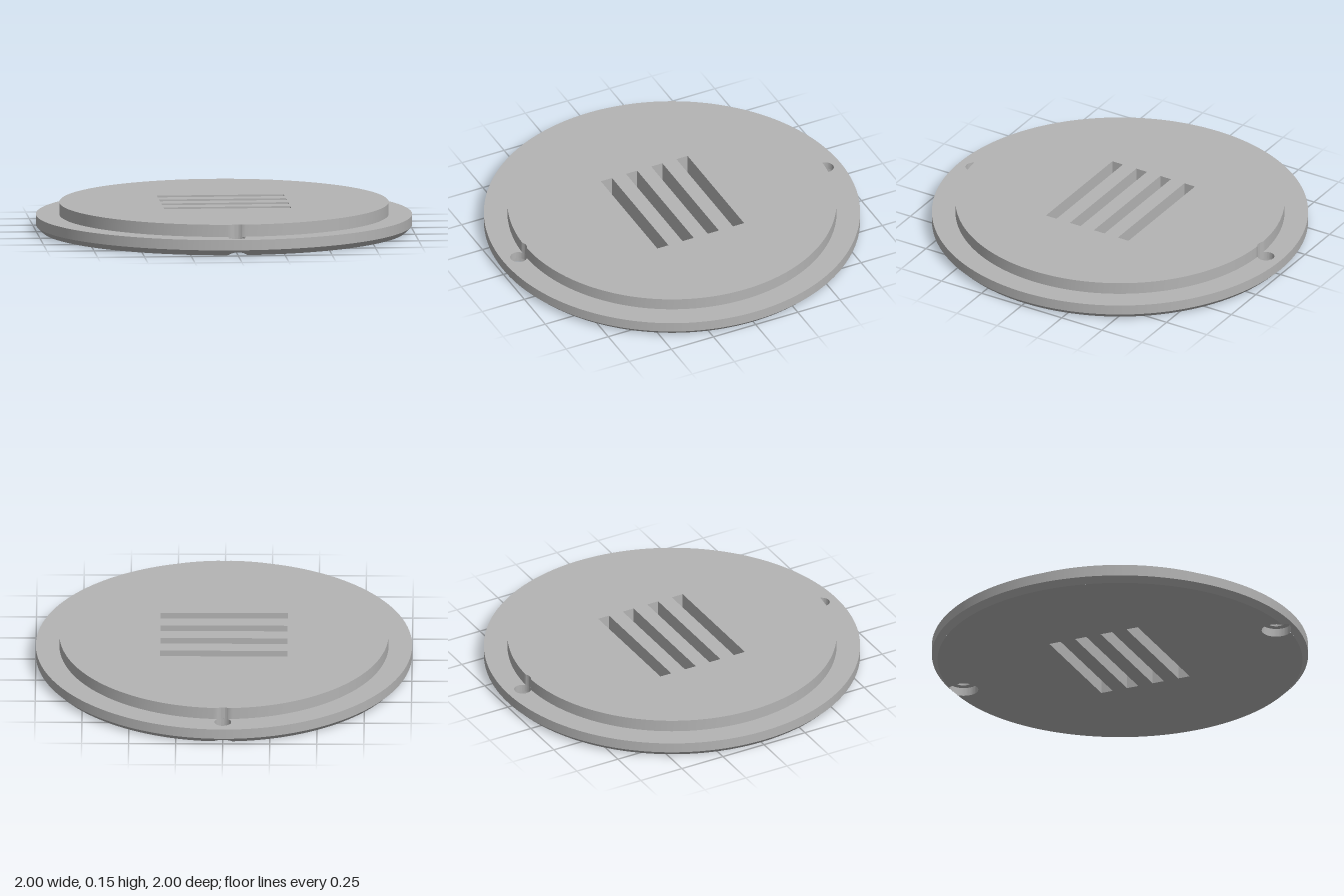
import * as THREE from 'three';
import { toCreasedNormals } from 'three/addons/utils/BufferGeometryUtils.js';

const R_RIM = 1, R_BASE = 0.97, R_RAISED = 0.875;      // radii of the plate
const Y_CHAMFER = 0.03, Y_FLANGE = 0.085, Y_TOP = 0.15; // heights of its steps
const HOLE_AT = 0.91, R_HOLE = 0.045, R_BORE = 0.078, Y_BORE = 0.045;

// Outlines are lists of [x, v] with v = -z, counter-clockwise seen from above.
function arc(cx, cv, r, from, to, n) {
  return Array.from({ length: n + 1 }, (_, i) => {
    const a = from + (to - from) * i / n;
    return [cx + r * Math.cos(a), cv + r * Math.sin(a)];
  });
}
const circle = (r, n, cv = 0) => arc(0, cv, r, 0, Math.PI * 2, n).slice(0, -1);

// Circle with a bite (or a bump, if outward) where the two screw holes cross it
function notchedCircle(R, r, outward = false) {
  const c = HOLE_AT;
  const phi = Math.acos((R * R + c * c - r * r) / (2 * R * c));
  const a = Math.atan2(R * Math.cos(phi) - c, R * Math.sin(phi));
  const half = [
    ...arc(0, 0, R, -Math.PI / 2 + phi, Math.PI / 2 - phi, 120),
    ...arc(0, c, r, a, outward ? Math.PI - a : -Math.PI - a, 24).slice(1, -1),
  ];
  return [...half, ...half.map(([x, v]) => [-x, -v])];
}

// Flat face at height y, with holes
function face(outline, holes, y, up) {
  const toVec = (pts) => pts.map(([x, v]) => new THREE.Vector2(x, v));
  const shape = new THREE.Shape(toVec(outline));
  holes.forEach((h) => shape.holes.push(new THREE.Path(toVec(h))));
  const geo = new THREE.ShapeGeometry(shape).rotateX(-Math.PI / 2).translate(0, y, 0);
  if (!up) {
    geo.index.array.reverse();
    geo.computeVertexNormals();
  }
  return geo;
}

// Wall between two loops of [x, v, y]; a clockwise loop faces inward
function loft(low, high) {
  const n = low.length, index = [];
  const pos = [...low, ...high].flatMap(([x, v, y]) => [x, y, -v]);
  for (let i = 0; i < n; i++) {
    const j = (i + 1) % n;
    index.push(i, j, n + j, i, n + j, n + i);
  }
  const geo = new THREE.BufferGeometry();
  geo.setAttribute('position', new THREE.Float32BufferAttribute(pos, 3));
  geo.setIndex(index);
  return toCreasedNormals(geo, 0.6);
}
const atY = (pts, y) => pts.map(([x, v]) => [x, v, y]);
const wall = (pts, y0, y1) => loft(atY(pts, y0), atY(pts, y1));

export function createModel() {
  const grey = new THREE.MeshStandardMaterial({ color: 0xb4b4b4 });
  grey.name = 'grey';
  const model = new THREE.Group();
  model.name = 'ventCover';
  const add = (name, geo) => {
    const mesh = new THREE.Mesh(geo, grey);
    mesh.name = name;
    model.add(mesh);
  };

  // Four vent slots, clockwise so that their walls face inward
  const slots = [0, 1, 2, 3].map((i) => {
    const v = 0.227 - 0.1495 * i, w = 0.338, h = 0.033;
    return [[-w, v - h], [-w, v + h], [w, v + h], [w, v - h]];
  });
  slots.forEach((s) => add('slotWall', wall(s, 0, Y_TOP)));

  // Raised disc, bitten by the screw holes
  const raised = notchedCircle(R_RAISED, R_HOLE);
  add('raisedTop', face(raised, slots, Y_TOP, true));
  add('raisedWall', wall(raised, Y_FLANGE, Y_TOP));

  // Flange around it
  const rim = circle(R_RIM, 720);
  const inner = notchedCircle(R_RAISED, R_HOLE, true);
  add('flangeTop', face(rim, [inner], Y_FLANGE, true));
  add('flangeWall', wall(rim, Y_CHAMFER, Y_FLANGE));

  // Chamfer, cut away where the counterbores break through it
  const chamferLow = rim.map(([x, v]) => {
    const d = R_BORE * R_BORE - (HOLE_AT * x) ** 2;
    const exit = d > 0 ? HOLE_AT * Math.abs(v) + Math.sqrt(d) : 0;
    const r = Math.max(R_BASE, exit);
    return [x * r, v * r, r - R_BASE];
  });
  add('chamfer', loft(chamferLow, atY(rim, Y_CHAMFER)));
  add('underside', face(notchedCircle(R_BASE, R_BORE), slots, 0, false));

  // Screw holes with counterbores from below
  for (const side of [-1, 1]) {
    const hole = circle(R_HOLE, 48, side * HOLE_AT).reverse();
    const bore = circle(R_BORE, 64, side * HOLE_AT).reverse();
    const boreLow = bore.map(([x, v]) => [x, v, Math.max(0, Math.hypot(x, v) - R_BASE)]);
    add('screwHoleWall', wall(hole, Y_BORE, Y_FLANGE));
    add('counterboreWall', loft(boreLow, atY(bore, Y_BORE)));
    add('counterboreSeat', face(bore, [hole], Y_BORE, false));
  }
  return model;
}
